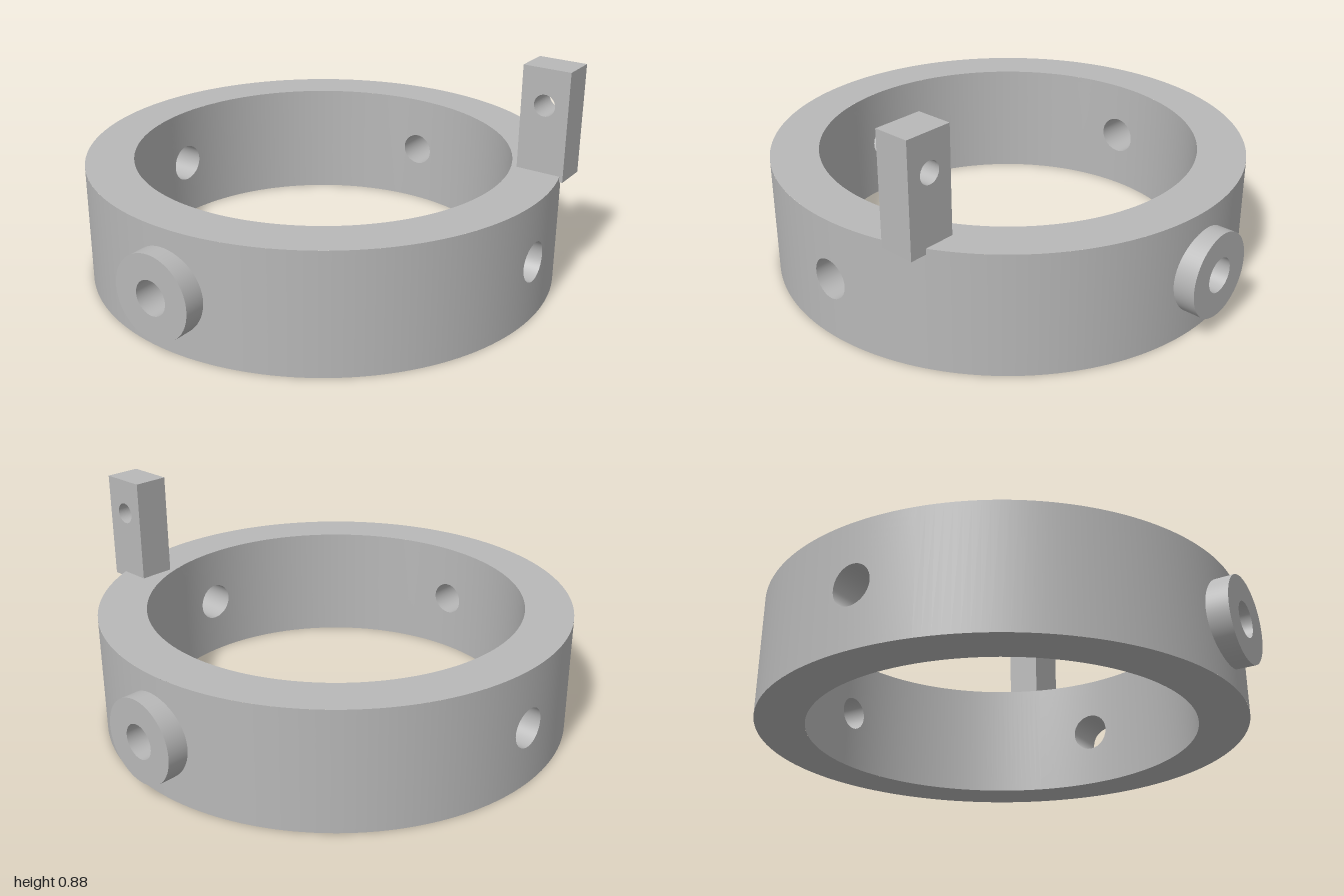
import * as THREE from 'three';

const OUTER = 0.932, INNER = 0.745, HEIGHT = 0.472, MID = HEIGHT / 2;

// Grid surface: fn(u, v) returns [position, normal]; flip reverses the facing
function surface(nu, nv, fn, flip = false) {
  const pos = [], nor = [], idx = [];
  for (let j = 0; j <= nv; j++) {
    for (let i = 0; i <= nu; i++) {
      const [p, n] = fn(i / nu, j / nv);
      pos.push(...p);
      nor.push(...n);
    }
  }
  for (let j = 0; j < nv; j++) {
    for (let i = 0; i < nu; i++) {
      const a = j * (nu + 1) + i, b = a + 1, c = a + nu + 1, d = c + 1;
      if (flip) idx.push(a, b, c, b, d, c);
      else idx.push(a, c, b, b, c, d);
    }
  }
  const g = new THREE.BufferGeometry();
  g.setAttribute('position', new THREE.Float32BufferAttribute(pos, 3));
  g.setAttribute('normal', new THREE.Float32BufferAttribute(nor, 3));
  g.setIndex(idx);
  return g;
}

// Square piece of curved wall with a round hole in it, facing +z
function piercedWall(R, hole, sign) {
  return surface(64, 6, (u, v) => {
    const a = u * Math.PI * 2, c = Math.cos(a), s = Math.sin(a);
    const edge = MID / Math.max(Math.abs(c), Math.abs(s));
    const r = hole + (edge - hole) * v;
    const x = r * c, z = Math.sqrt(R * R - x * x);
    return [[x, MID + r * s, z], [sign * x / R, 0, sign * z / R]];
  }, sign < 0);
}

// Plain curved wall filling the arc up to the next pierced piece
function plainWall(R, sign) {
  const start = Math.asin(MID / R), length = Math.PI / 2 - 2 * start;
  return surface(32, 1, (u, v) => {
    const a = start + u * length, s = Math.sin(a), c = Math.cos(a);
    return [[R * s, HEIGHT * (1 - v), R * c], [sign * s, 0, sign * c]];
  }, sign < 0);
}

// Inside of a hole, from the inner wall to the outer wall or the boss face
function bore(hole, end) {
  return surface(64, 1, (u, v) => {
    const a = u * Math.PI * 2, c = Math.cos(a), s = Math.sin(a), x = hole * c;
    const z0 = Math.sqrt(INNER * INNER - x * x);
    const z1 = end ?? Math.sqrt(OUTER * OUTER - x * x);
    return [[x, MID + hole * s, z0 + (z1 - z0) * v], [-c, -s, 0]];
  });
}

export function createModel() {
  const model = new THREE.Group();
  const grey = new THREE.MeshStandardMaterial({ color: 0xb8b8b8 });
  grey.name = 'grey metal';

  const add = (parent, name, geometry) => {
    const mesh = new THREE.Mesh(geometry, grey);
    mesh.name = name;
    parent.add(mesh);
    return mesh;
  };

  // Four ring quarters; front and back carry bosses
  for (let k = 0; k < 4; k++) {
    const quarter = new THREE.Group();
    quarter.name = 'ringQuarter' + (k + 1);
    quarter.rotation.y = k * Math.PI / 2;
    model.add(quarter);

    const hasBoss = k % 2 === 0, hole = hasBoss ? 0.067 : 0.077;
    add(quarter, 'outerPiercedWall', piercedWall(OUTER, hole, 1));
    add(quarter, 'innerPiercedWall', piercedWall(INNER, hole, -1));
    add(quarter, 'outerWall', plainWall(OUTER, 1));
    add(quarter, 'innerWall', plainWall(INNER, -1));
    add(quarter, 'bore', bore(hole, hasBoss ? 1 : undefined));

    if (hasBoss) {
      const side = new THREE.CylinderGeometry(0.163, 0.163, 0.1, 64, 1, true);
      side.rotateX(Math.PI / 2);
      add(quarter, 'bossSide', side).position.set(0, MID, 0.95);
      add(quarter, 'bossFace', new THREE.RingGeometry(hole, 0.163, 64)).position.set(0, MID, 1);
    }
  }

  // Flat top and bottom of the ring
  const top = add(model, 'ringTop', new THREE.RingGeometry(INNER, OUTER, 160));
  top.rotation.x = -Math.PI / 2;
  top.position.y = HEIGHT;
  const bottom = add(model, 'ringBottom', new THREE.RingGeometry(INNER, OUTER, 160));
  bottom.rotation.x = Math.PI / 2;

  // Upright lug with a pin hole, slightly sunk into the ring
  const lug = new THREE.Shape();
  lug.moveTo(0.72, 0.45).lineTo(0.908, 0.45).lineTo(0.908, 0.877).lineTo(0.72, 0.877).closePath();
  const pin = new THREE.Path();
  pin.absarc(0.814, 0.735, 0.042, 0, Math.PI * 2, true);
  lug.holes.push(pin);
  add(model, 'lug', new THREE.ExtrudeGeometry(lug, {
    depth: 0.14, bevelEnabled: false, curveSegments: 40,
  })).position.z = -0.4;

  return model;
}
